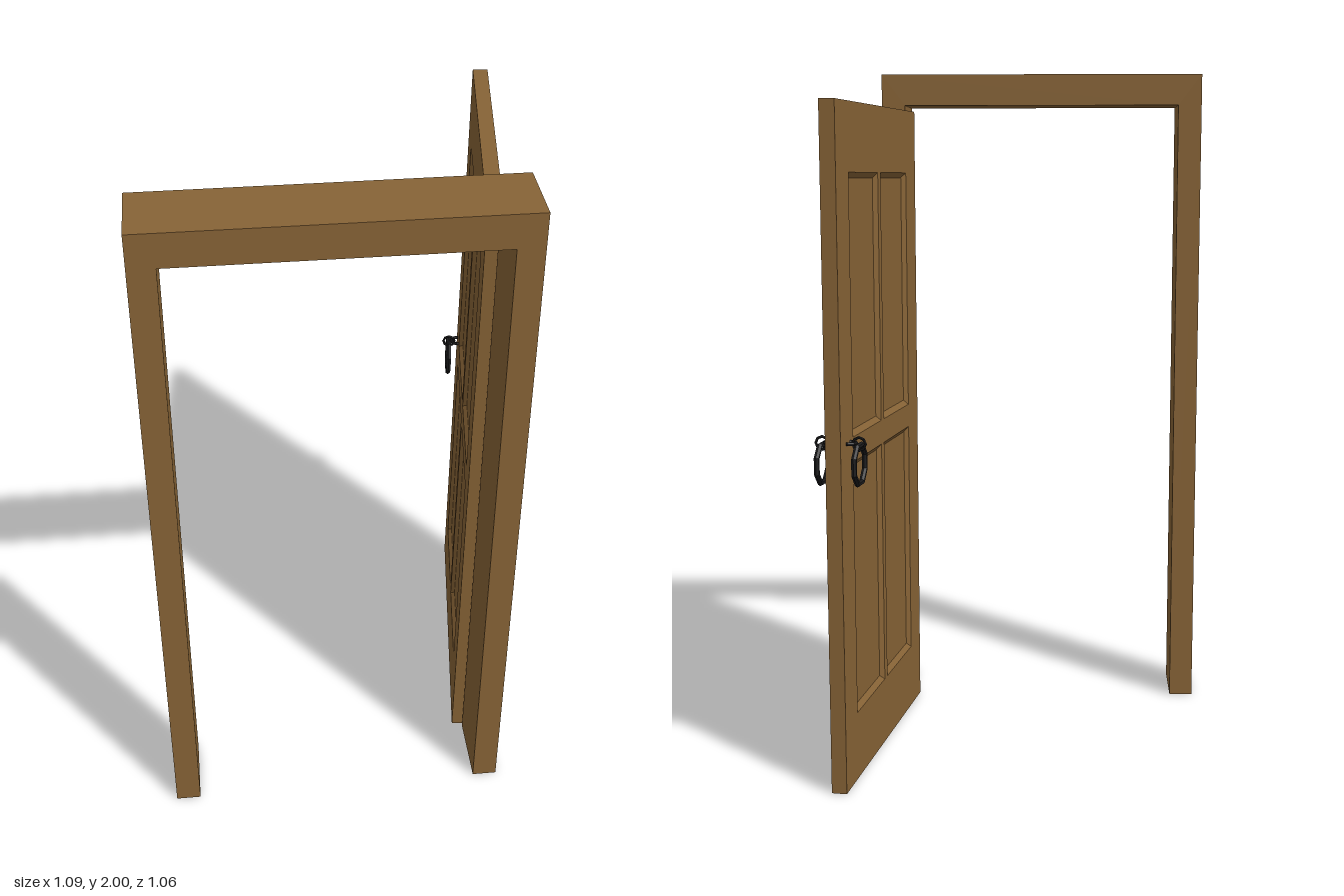
import * as THREE from 'three';

const wood = new THREE.MeshStandardMaterial({ color: 0x876336 });
wood.name = 'wood';
const iron = new THREE.MeshStandardMaterial({ color: 0x1b1b1c, flatShading: true });
iron.name = 'black iron';
const steel = new THREE.MeshStandardMaterial({ color: 0x35383d, flatShading: true });
steel.name = 'dark steel';

function add(parent, name, geometry, material, x = 0, y = 0, z = 0) {
  const mesh = new THREE.Mesh(geometry, material);
  mesh.name = name;
  mesh.position.set(x, y, z);
  parent.add(mesh);
  return mesh;
}

const rectPoints = (x0, y0, x1, y1) => [[x0, y0], [x1, y0], [x1, y1], [x0, y1]];
const toVectors = (pts) => pts.map(([x, y]) => new THREE.Vector2(x, y));

// Sunken panel: four sloped borders around a flat centre, facing +z
function sunkenPanel(x0, y0, x1, y1, bevel, depth) {
  const outer = rectPoints(x0, y0, x1, y1).map(([x, y]) => [x, y, 0]);
  const inner = rectPoints(x0 + bevel, y0 + bevel, x1 - bevel, y1 - bevel).map(([x, y]) => [x, y, -depth]);
  const pos = [];
  const quad = (a, b, c, d) => pos.push(...a, ...b, ...c, ...a, ...c, ...d);
  for (let i = 0; i < 4; i++) {
    const j = (i + 1) % 4;
    quad(outer[i], outer[j], inner[j], inner[i]);
  }
  quad(...inner);
  const g = new THREE.BufferGeometry();
  g.setAttribute('position', new THREE.Float32BufferAttribute(pos, 3));
  g.computeVertexNormals();
  return g;
}

export function createModel() {
  const model = new THREE.Group();
  model.name = 'doorway';

  // Door frame: one U-shaped outline
  const outline = new THREE.Shape(toVectors([
    [-0.547, 0], [-0.475, 0], [-0.475, 1.905], [0.378, 1.905],
    [0.378, 0], [0.45, 0], [0.45, 2], [-0.547, 2],
  ]));
  add(model, 'doorFrame', new THREE.ExtrudeGeometry(outline, { depth: 0.2, bevelEnabled: false }), wood, 0, 0, 0.327);

  // Open door: local x runs from the hinge edge to the handle edge
  const W = 0.85, H = 1.885, T = 0.043;
  const door = new THREE.Group();
  door.name = 'door';
  door.position.set(0.3685, 0, 0.315);
  door.rotation.y = THREE.MathUtils.degToRad(82.36);
  model.add(door);

  const panels = [];
  for (const [x0, x1] of [[0.116, 0.409], [0.439, 0.732]])
    for (const [y0, y1] of [[0.193, 0.91], [0.98, 1.697]]) panels.push([x0, y0, x1, y1]);

  const slab = new THREE.Shape(toVectors(rectPoints(0, 0, W, H)));
  for (const p of panels) slab.holes.push(new THREE.Path(toVectors(rectPoints(...p))));
  add(door, 'doorSlab', new THREE.ExtrudeGeometry(slab, { depth: T, bevelEnabled: false }), wood, 0, 0, -T / 2);

  // Panels on both faces
  for (const [x0, y0, x1, y1] of panels) {
    add(door, 'outerPanel', sunkenPanel(x0, y0, x1, y1, 0.015, 0.012), wood, 0, 0, T / 2);
    add(door, 'innerPanel', sunkenPanel(-x1, y0, -x0, y1, 0.015, 0.012), wood, 0, 0, -T / 2)
      .rotation.y = Math.PI;
  }

  // Ring handles: staple, link and pull ring on each face
  for (const side of [1, -1]) {
    const handle = new THREE.Group();
    handle.name = side > 0 ? 'outerHandle' : 'innerHandle';
    handle.position.set(0.778, 0.97, 0);
    door.add(handle);
    add(handle, 'staple', new THREE.TorusGeometry(0.019, 0.005, 6, 8), iron, 0, 0.002, side * 0.026)
      .rotation.x = Math.PI / 2;
    add(handle, 'link', new THREE.TorusGeometry(0.018, 0.004, 6, 8), iron, 0, 0, side * 0.052)
      .rotation.y = Math.PI / 2;
    add(handle, 'pullRing', new THREE.TorusGeometry(0.056, 0.008, 6, 8), iron, 0, -0.056, side * 0.052)
      .rotation.z = Math.PI / 8;
  }

  // Hinges: door leaf, frame leaf and barrel
  for (const y of [0.235, 1.663]) {
    add(door, 'hingeDoorLeaf', new THREE.BoxGeometry(0.041, 0.076, 0.004), steel, 0.018, y, T / 2 + 0.002);
    add(model, 'hingeFrameLeaf', new THREE.BoxGeometry(0.037, 0.076, 0.004), steel, 0.413, y, 0.325);
    add(model, 'hingeBarrel', new THREE.CylinderGeometry(0.006, 0.006, 0.06, 8), iron, 0.394, y, 0.321);
  }
  return model;
}
